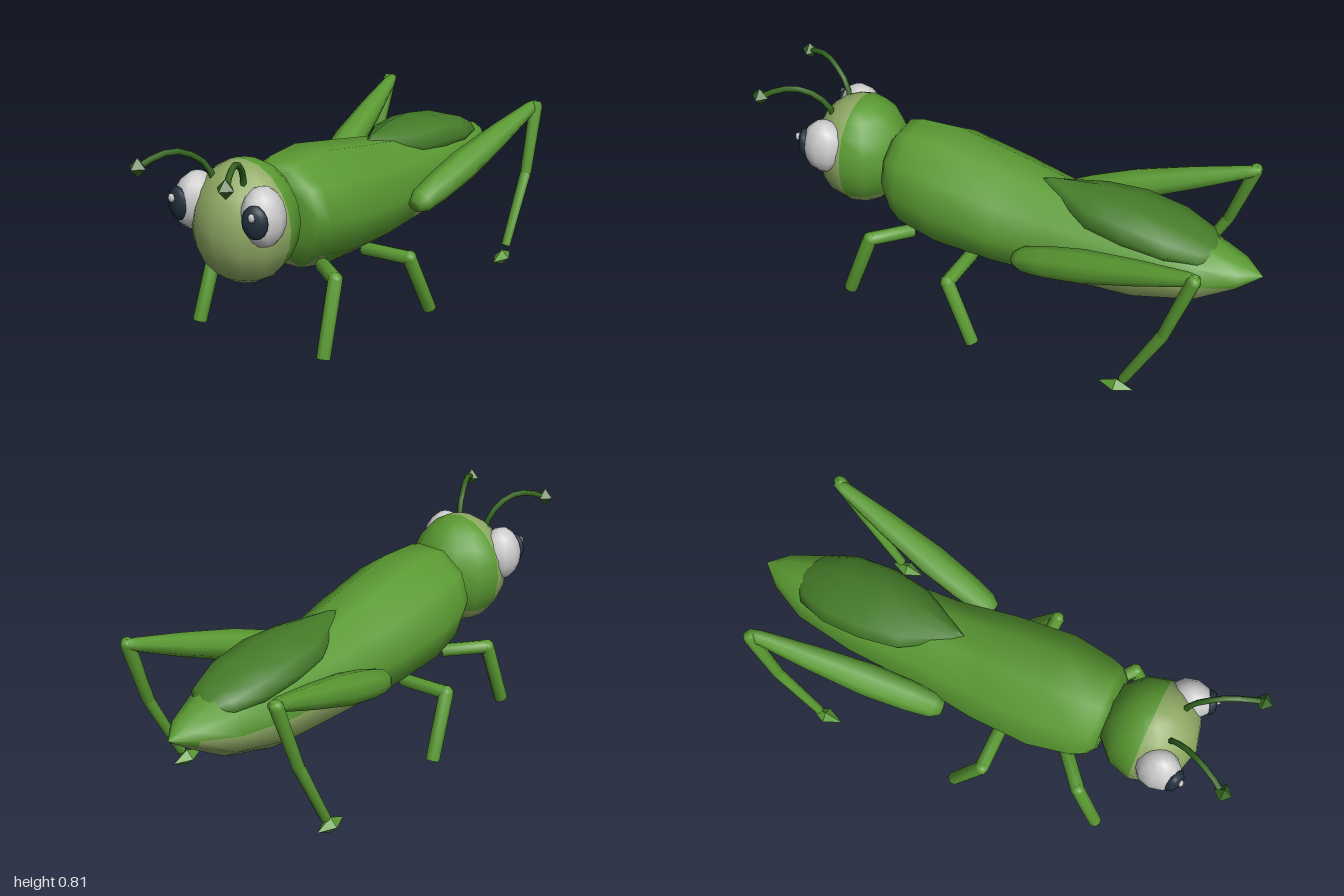
import * as THREE from 'three';

const mat = (color) => new THREE.MeshStandardMaterial({ color });
const GREEN = mat(0x5a9a32), LIGHT = mat(0x8fa964), DARK = mat(0x457c29), STALK = mat(0x35661f);
const WHITE = mat(0xd6d6d6), PUPIL = mat(0x22303e);
const V = (x, y, z) => new THREE.Vector3(x, y, z);

export function createModel() {
  const model = new THREE.Group();
  model.name = 'grasshopper';

  const add = (parent, name, geometry, material) => {
    const mesh = new THREE.Mesh(geometry, material);
    mesh.name = name;
    parent.add(mesh);
    return mesh;
  };

  // Ten-sided rings [z, top, bottom, halfWidth] joined from front to back
  function loft(rings, n = 10) {
    const pos = [], index = [];
    rings.forEach(([z, top, bottom, w], i) => {
      const c = (top + bottom) / 2, h = (top - bottom) / 2 / Math.cos(Math.PI / n);
      for (let k = 0; k < n; k++) {
        const a = (k / n) * Math.PI * 2;
        pos.push(w * Math.cos(a), c + h * Math.sin(a), z);
        if (i === rings.length - 1) continue;
        const p = i * n + k, q = i * n + (k + 1) % n;
        index.push(p, p + n, q, q, p + n, q + n);
      }
    });
    const g = new THREE.BufferGeometry();
    g.setAttribute('position', new THREE.Float32BufferAttribute(pos, 3));
    g.setIndex(index);
    g.computeVertexNormals();
    return g;
  }

  // Divide a smooth surface into two coloured meshes, triangle by triangle
  function addSplit(nameA, matA, nameB, matB, geometry, isA) {
    const g = geometry.toNonIndexed(), p = g.attributes.position, n = g.attributes.normal;
    const parts = [{ p: [], n: [] }, { p: [], n: [] }];
    for (let i = 0; i < p.count; i += 3) {
      const y = (p.getY(i) + p.getY(i + 1) + p.getY(i + 2)) / 3;
      const z = (p.getZ(i) + p.getZ(i + 1) + p.getZ(i + 2)) / 3;
      const t = parts[isA(y, z) ? 0 : 1];
      for (let j = i; j < i + 3; j++) {
        t.p.push(p.getX(j), p.getY(j), p.getZ(j));
        t.n.push(n.getX(j), n.getY(j), n.getZ(j));
      }
    }
    parts.forEach((t, i) => {
      const out = new THREE.BufferGeometry();
      out.setAttribute('position', new THREE.Float32BufferAttribute(t.p, 3));
      out.setAttribute('normal', new THREE.Float32BufferAttribute(t.n, 3));
      add(model, i ? nameB : nameA, out, i ? matB : matA);
    });
  }

  // Turned limb from a to b; profile holds [radius, fraction along the limb]
  function limb(parent, name, a, b, profile, sides = 8, flatten = 1) {
    const d = b.clone().sub(a), len = d.length();
    const pts = [[0, profile[0][1]], ...profile, [0, profile[profile.length - 1][1]]];
    const g = new THREE.LatheGeometry(pts.map(([r, t]) => new THREE.Vector2(r, t * len)), sides);
    g.scale(1, 1, flatten);
    const mesh = add(parent, name, g, GREEN);
    mesh.position.copy(a);
    mesh.quaternion.setFromUnitVectors(V(0, 1, 0), d.normalize());
  }

  const ball = (parent, name, material, c, r, w = 8, h = 6) => {
    const mesh = add(parent, name, new THREE.SphereGeometry(1, w, h), material);
    mesh.position.copy(c);
    mesh.scale.copy(r);
    return mesh;
  };

  // Body with a pale belly that rises behind the hips
  const body = loft([
    [0.48, 0.49, 0.49, 0], [0.48, 0.62, 0.36, 0.15], [0.45, 0.66, 0.31, 0.185],
    [0.40, 0.672, 0.265, 0.205], [0.24, 0.672, 0.23, 0.235], [0, 0.622, 0.213, 0.222],
    [-0.23, 0.575, 0.205, 0.188], [-0.55, 0.55, 0.215, 0.172], [-0.78, 0.515, 0.28, 0.14],
    [-0.92, 0.465, 0.365, 0.075], [-1, 0.42, 0.42, 0],
  ]);
  addSplit('belly', LIGHT, 'back', GREEN, body, (y, z) => y < (z < -0.23 ? 0.395 : 0.295));

  // Folded wings lying on the back
  add(model, 'wings', loft([
    [-0.13, 0.597, 0.57, 0], [-0.17, 0.605, 0.53, 0.03], [-0.35, 0.607, 0.46, 0.13],
    [-0.5, 0.603, 0.45, 0.155], [-0.66, 0.572, 0.44, 0.15], [-0.78, 0.53, 0.44, 0.11],
    [-0.86, 0.47, 0.46, 0],
  ]), DARK);

  // Head with a pale face
  const head = new THREE.SphereGeometry(1, 12, 10);
  head.scale(0.197, 0.225, 0.187);
  head.translate(0, 0.515, 0.635);
  addSplit('face', LIGHT, 'headBack', GREEN, head, (y, z) => z > 0.635 || y < 0.38);

  for (const s of [1, -1]) {
    const side = s > 0 ? 'left' : 'right';
    const P = (x, y, z) => V(s * x, y, z);
    const group = (name) => {
      const g = new THREE.Group();
      g.name = side + name;
      model.add(g);
      return g;
    };

    // Eye
    const eye = group('Eye');
    ball(eye, 'eyeball', WHITE, P(0.148, 0.588, 0.722), V(0.072, 0.107, 0.088), 10, 8).rotation.z = s * 0.12;
    ball(eye, 'pupil', PUPIL, P(0.165, 0.592, 0.793), V(0.047, 0.061, 0.028), 8, 8).rotation.y = s * 0.35;
    ball(eye, 'glint', WHITE, P(0.172, 0.618, 0.82), V(0.015, 0.017, 0.01), 6, 4);

    // Antenna
    const antenna = group('Antenna');
    const curve = new THREE.CatmullRomCurve3([
      P(0.06, 0.66, 0.72), P(0.075, 0.725, 0.735), P(0.1, 0.78, 0.79),
      P(0.13, 0.802, 0.85), P(0.158, 0.792, 0.91), P(0.185, 0.768, 0.96),
    ]);
    add(antenna, 'stalk', new THREE.TubeGeometry(curve, 7, 0.0115, 6), STALK);
    const bulb = add(antenna, 'bulb', new THREE.OctahedronGeometry(0.035), STALK);
    bulb.position.copy(P(0.185, 0.767, 0.965));

    // Front and middle legs
    for (const [name, hip, knee, foot] of [
      ['FrontLeg', P(0.13, 0.28, 0.36), P(0.267, 0.297, 0.475), P(0.28, 0.03, 0.57)],
      ['MiddleLeg', P(0.14, 0.258, 0.1), P(0.343, 0.268, 0.105), P(0.368, 0.03, -0.005)],
    ]) {
      const leg = group(name);
      limb(leg, 'thigh', hip, knee, [[0.027, 0], [0.027, 1]]);
      ball(leg, 'knee', GREEN, knee, V(0.028, 0.028, 0.028));
      limb(leg, 'shin', knee, foot, [[0.028, 0], [0.027, 1]]);
    }

    // Jumping leg
    const hind = group('HindLeg');
    const knee = P(0.345, 0.615, -0.84), bend = P(0.367, 0.35, -0.755);
    limb(hind, 'thigh', P(0.225, 0.375, -0.12), knee,
      [[0.03, 0], [0.05, 0.05], [0.06, 0.18], [0.064, 0.4], [0.048, 0.7], [0.027, 0.97], [0.018, 1.02]], 8, 0.95);
    limb(hind, 'upperShin', P(0.355, 0.632, -0.848), bend, [[0.018, 0], [0.027, 0.06], [0.023, 1]]);
    limb(hind, 'lowerShin', bend, P(0.362, 0.075, -0.615), [[0.023, 0], [0.019, 1]]);
    const foot = add(hind, 'foot', new THREE.OctahedronGeometry(1), GREEN);
    foot.scale.set(0.032, 0.032, 0.07);
    foot.position.copy(P(0.36, 0.033, -0.588));
  }
  return model;
}
